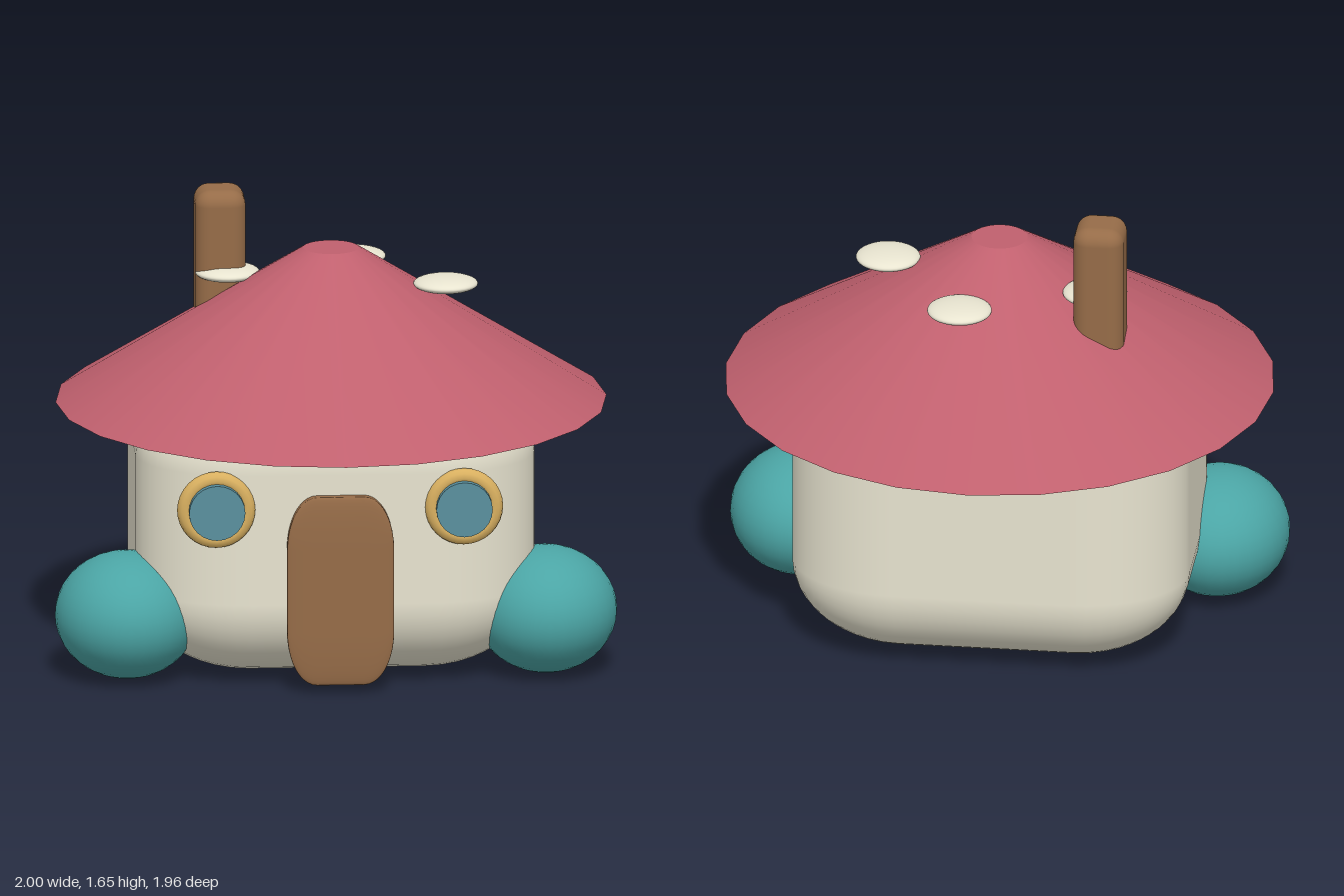
import * as THREE from 'three';
import { RoundedBoxGeometry } from 'three/addons/geometries/RoundedBoxGeometry.js';

const paint = (color) => new THREE.MeshStandardMaterial({ color });

export function createModel() {
  const house = new THREE.Group();
  house.name = 'cottage';

  const cream = paint(0xe8e4d0);
  const red = paint(0xc0606e);
  const brown = paint(0x966c48);
  const gold = paint(0xd9b060);
  const glass = paint(0x5a909e);
  const teal = paint(0x4ba5a5);

  const add = (name, geometry, material, x, y, z, scale = [1, 1, 1]) => {
    const mesh = new THREE.Mesh(geometry, material);
    mesh.name = name;
    mesh.position.set(x, y, z);
    mesh.scale.set(...scale);
    house.add(mesh);
    return mesh;
  };

  // Unit shapes, stretched to size so the rounding stretches with them
  const softCube = new RoundedBoxGeometry(1, 1, 1, 6, 0.28);
  const ball = new THREE.SphereGeometry(1, 32, 20);

  // Walls and door
  add('walls', softCube, cream, 0, 0.56, 0, [1.42, 1.08, 1.15]);
  add('door', softCube, brown, 0, 0.38, 0.593, [0.38, 0.69, 0.06]);

  // Wide cone roof with a small flat top
  add('roof', new THREE.CylinderGeometry(0.1, 0.98, 0.555, 24), red, 0, 1.2075, 0);

  // Chimney, sunk into the roof
  add('chimney', new RoundedBoxGeometry(0.18, 0.56, 0.2, 4, 0.055), brown, -0.385, 1.38, -0.205);

  // Round windows and bushes on both sides
  const frame = new THREE.TorusGeometry(0.11, 0.03, 12, 32);
  const pane = new THREE.CylinderGeometry(0.1, 0.1, 0.06, 24).rotateX(Math.PI / 2);
  for (const [side, s] of [['left', 1], ['right', -1]]) {
    add(`${side}WindowFrame`, frame, gold, s * 0.44, 0.675, 0.567);
    add(`${side}WindowPane`, pane, glass, s * 0.44, 0.675, 0.592);
    add(`${side}Bush`, ball, teal, s * 0.745, 0.23, 0.31, [0.255, 0.225, 0.293]);
  }

  // Flat pale spots around the roof
  const spots = [[0.405, 0.05], [0.1, -0.36], [-0.36, -0.155]];
  spots.forEach(([x, z], i) => add(`roofSpot${i + 1}`, ball, cream, x, 1.36, z, [0.115, 0.028, 0.115]));

  return house;
}
